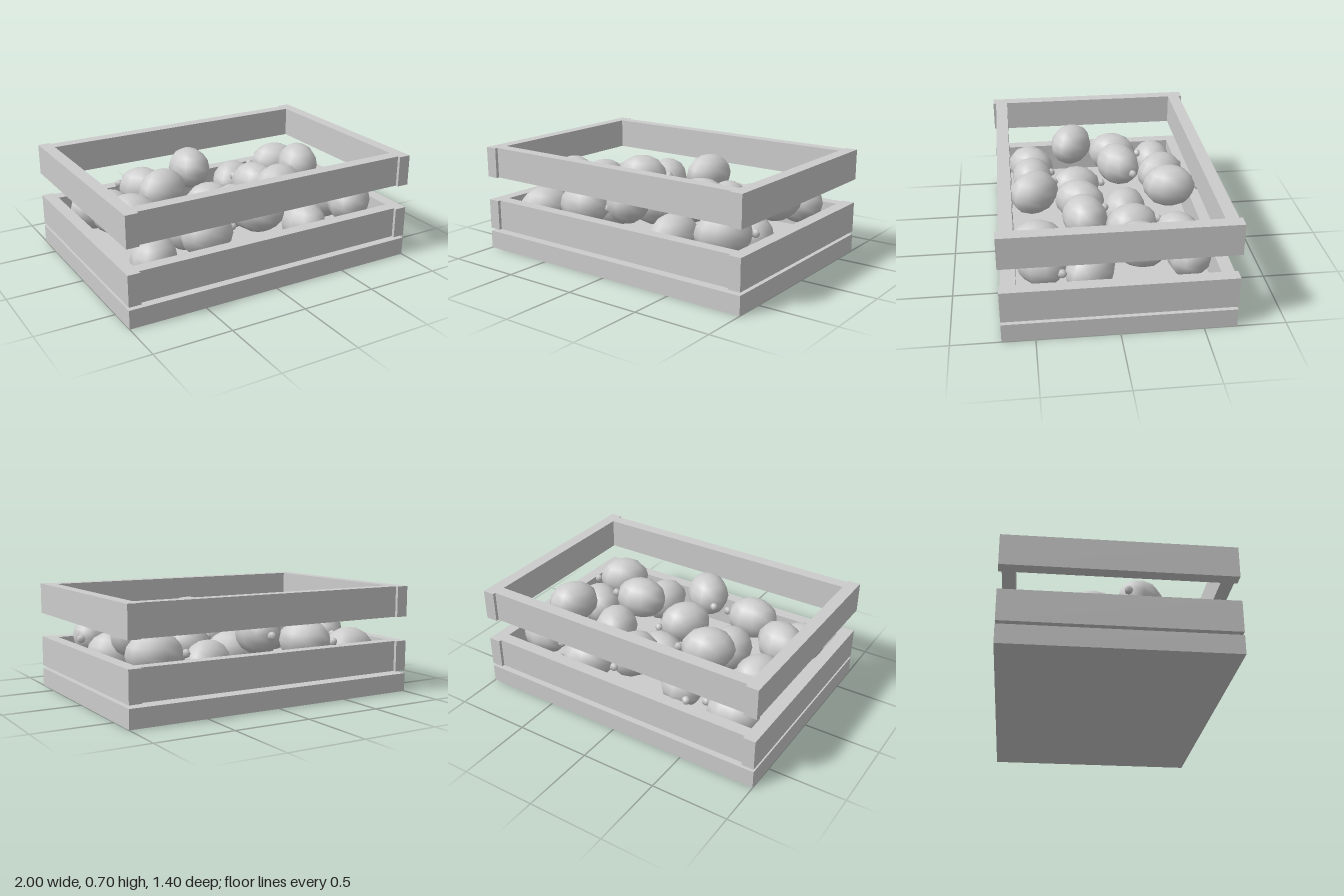
import * as THREE from 'three';

export function createModel() {
  const model = new THREE.Group();
  const grey = new THREE.MeshStandardMaterial({ color: 0xcccccc });
  grey.name = 'light grey';

  const add = (parent, name, geometry, x, y, z) => {
    const mesh = new THREE.Mesh(geometry, grey);
    mesh.name = name;
    mesh.position.set(x, y, z);
    parent.add(mesh);
    return mesh;
  };

  // Crate: solid base and two rails of boards, side boards set back from the end boards
  add(model, 'base', new THREE.BoxGeometry(2, 0.12, 1.4), 0, 0.06, 0);
  const endBoard = new THREE.BoxGeometry(0.08, 0.2, 1.4);
  const sideBoard = new THREE.BoxGeometry(1.84, 0.2, 0.08);
  for (const [name, y] of [['lowerRail', 0.24], ['upperRail', 0.6]]) {
    const rail = new THREE.Group();
    rail.name = name;
    for (const s of [-1, 1]) {
      add(rail, 'endBoard', endBoard, s * 0.96, y, 0);
      add(rail, 'sideBoard', sideBoard, 0, y, s * 0.64);
    }
    model.add(rail);
  }

  // Fruit: 5 x 4 grid at three staggered heights, each turned by its own angle (degrees)
  const turns = [
    [0, 128, 84, 33, 162],
    [76, 26, 157, 110, 65],
    [151, 100, 54, 11, 139],
    [49, 4, 133, 86, 40],
  ];
  const fruitBody = new THREE.SphereGeometry(0.14, 10, 8).scale(1.25, 1, 1);
  const fruitTip = new THREE.SphereGeometry(0.028, 5, 4);
  turns.forEach((row, j) => row.forEach((deg, i) => {
    const fruit = new THREE.Group();
    fruit.name = 'fruit';
    fruit.position.set((i - 2) * 0.36, 0.28 + 0.08 * ((i + j) % 3), (j - 1.5) * 0.3);
    fruit.rotation.y = THREE.MathUtils.degToRad(deg);
    add(fruit, 'fruitBody', fruitBody, 0, 0, 0);
    add(fruit, 'fruitTip', fruitTip, 0.19, 0, 0);
    model.add(fruit);
  }));

  return model;
}
